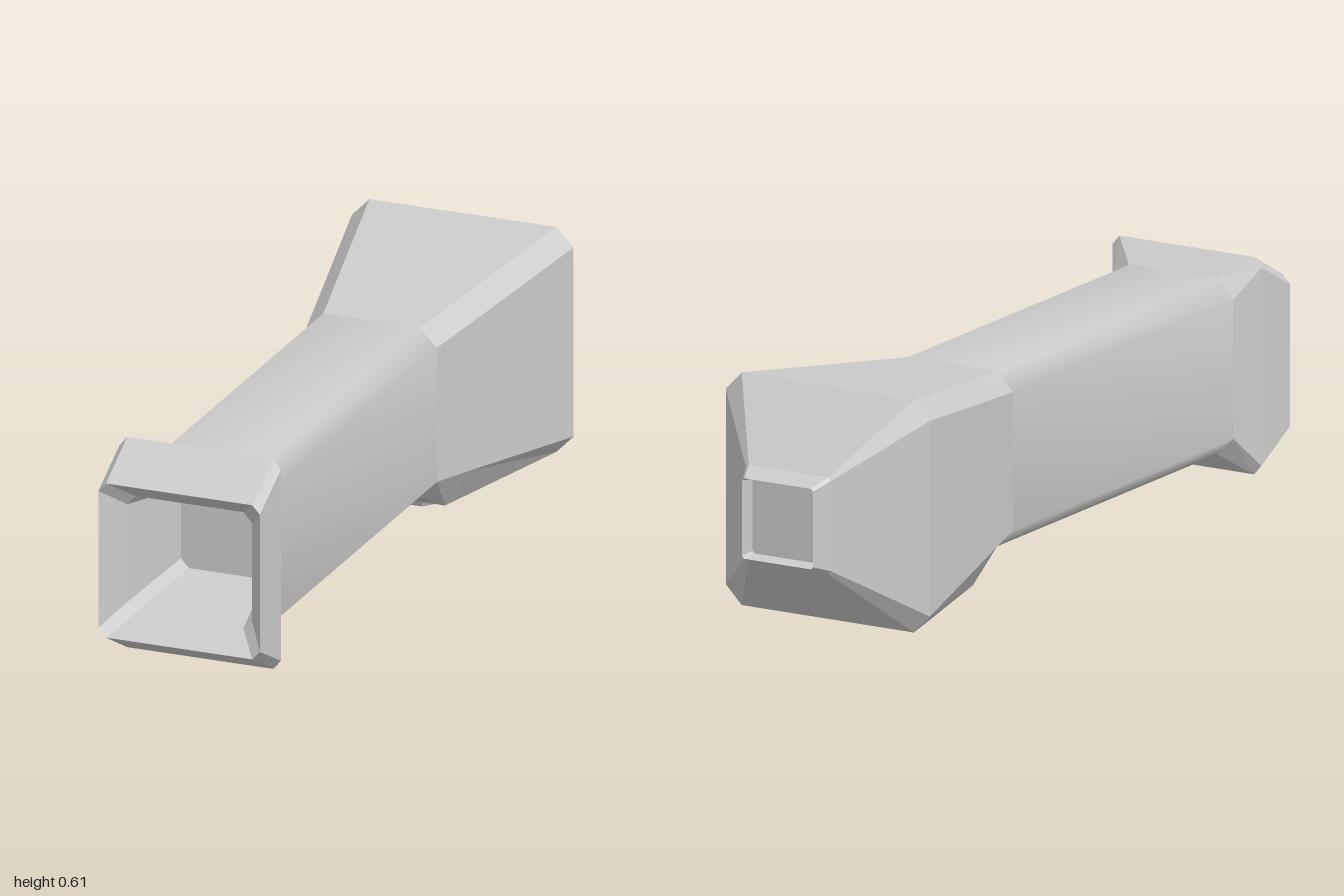
import * as THREE from 'three';

// Chamfered rectangle: z, half width, bottom, top, chamfer x / y, optional lower chamfer x / y
function ring([z, w, b, t, cx, cy, lx = cx, ly = cy]) {
  return [
    [w, b + ly, z], [w, t - cy, z], [w - cx, t, z], [-w + cx, t, z],
    [-w, t - cy, z], [-w, b + ly, z], [-w + lx, b, z], [w - lx, b, z],
  ];
}

// Skin a series of rings, optionally closing the first and last
function loft(sections, { capStart = false, capEnd = false, smooth = false } = {}) {
  const positions = sections.flatMap((s) => ring(s).flat());
  const index = [];
  const last = (sections.length - 1) * 8;
  for (let r = 0; r < last; r += 8) {
    for (let i = 0; i < 8; i++) {
      const j = (i + 1) % 8;
      index.push(r + i, r + j, r + 8 + j, r + i, r + 8 + j, r + 8 + i);
    }
  }
  for (let i = 1; i < 7; i++) {
    if (capStart) index.push(0, i + 1, i);
    if (capEnd) index.push(last, last + i, last + i + 1);
  }
  let geometry = new THREE.BufferGeometry();
  geometry.setAttribute('position', new THREE.Float32BufferAttribute(positions, 3));
  geometry.setIndex(index);
  if (!smooth) geometry = geometry.toNonIndexed();
  geometry.computeVertexNormals();
  return geometry;
}

export function createModel() {
  const group = new THREE.Group();
  const grey = new THREE.MeshStandardMaterial({ color: 0xcccccc });
  grey.name = 'light grey';

  const add = (name, geometry) => {
    const mesh = new THREE.Mesh(geometry, grey);
    mesh.name = name;
    group.add(mesh);
    return mesh;
  };

  // Flared rear head with a shallow recess in its tip
  add('head', loft([
    [-0.96, 0.095, 0.225, 0.415, 0.006, 0.006],
    [-1.0, 0.10, 0.22, 0.42, 0.006, 0.006],
    [-0.95, 0.12, 0.20, 0.44, 0.008, 0.008],
    [-0.77, 0.288, 0.032, 0.61, 0.045, 0.046],
    [-0.33, 0.197, 0.034, 0.552, 0.045, 0.046, 0.06, 0.097],
    [-0.2, 0.17, 0.10, 0.535, 0.045, 0.045],
  ], { capStart: true }));

  // Softly shaded grip
  add('handle', loft([
    [-0.2, 0.17, 0.10, 0.535, 0.045, 0.045],
    [0.805, 0.17, 0.10, 0.535, 0.045, 0.045],
  ], { smooth: true }));

  // Front collar, funnel and deep socket
  add('collar', loft([
    [0.805, 0.17, 0.10, 0.535, 0.045, 0.045],
    [0.868, 0.21, 0.045, 0.585, 0.02, 0.024],
    [1.0, 0.21, 0.116, 0.512, 0.02, 0.022],
    [0.935, 0.162, 0.165, 0.464, 0.022, 0.024],
    [0.70, 0.12, 0.202, 0.427, 0.021, 0.022],
  ], { capEnd: true }));

  // Tapered button under the head
  const button = add('button', loft([
    [0, 0.088, -0.59, -0.37, 0.025, 0.03],
    [0.036, 0.079, -0.58, -0.385, 0.025, 0.03],
  ], { capEnd: true }));
  button.rotation.x = Math.PI / 2;
  button.position.y = 0.036;

  return group;
}
